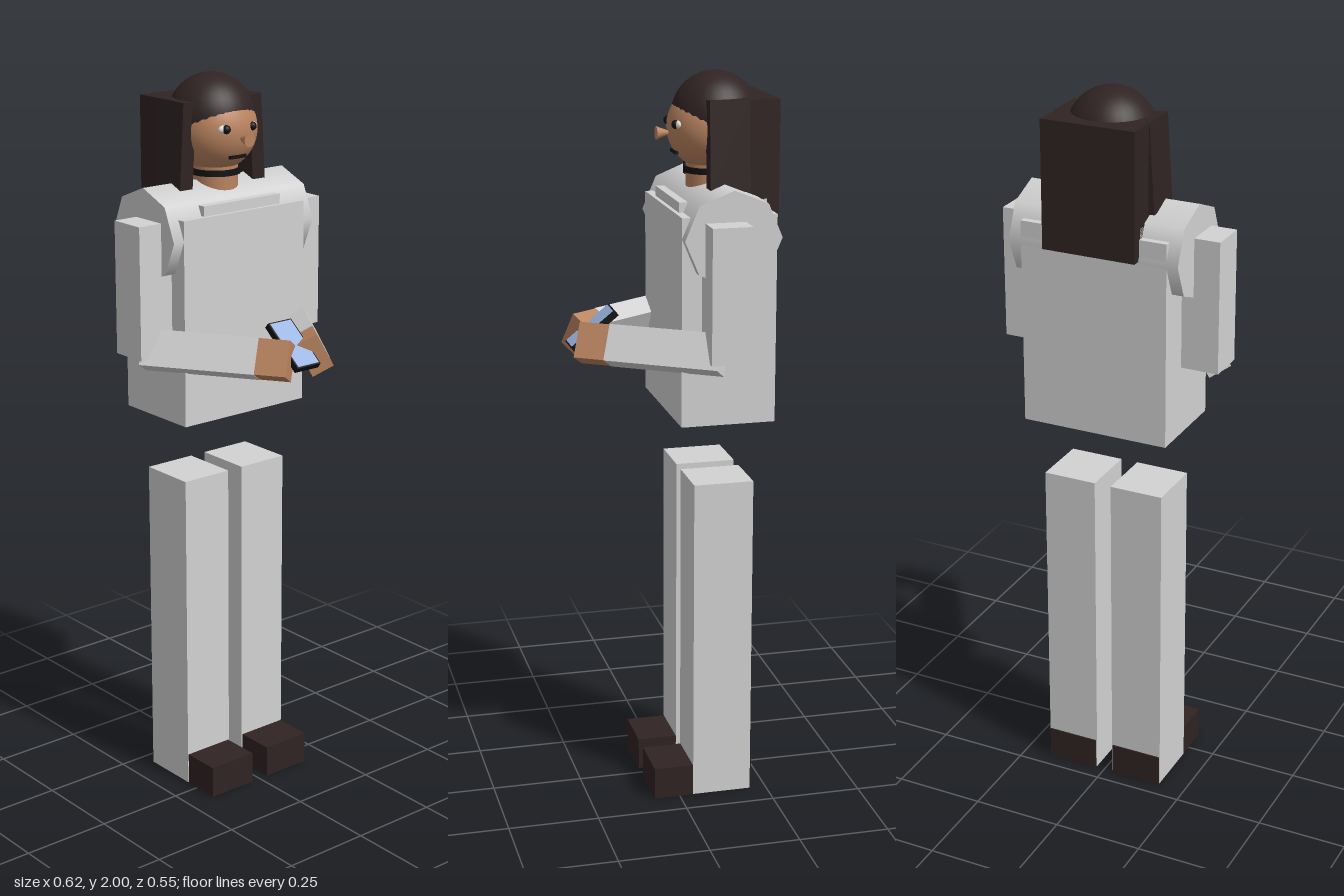
import * as THREE from 'three';

const mat = (name, color, side = THREE.FrontSide) => {
  const m = new THREE.MeshStandardMaterial({ color, side });
  m.name = name;
  return m;
};

export function createModel() {
  const model = new THREE.Group();
  model.name = 'standingFigure';

  const cloth = mat('paleGreyCloth', 0xd2d2d2);
  const skin = mat('skin', 0xba8460);
  const hair = mat('darkBrownHair', 0x302323);
  const black = mat('black', 0x141214);
  const white = mat('eyeWhite', 0xe8e4e0);
  const glass = mat('blueScreen', 0x9cb6e2);

  const add = (name, geometry, material, x, y, z, parent = model) => {
    const mesh = new THREE.Mesh(geometry, material);
    mesh.name = name;
    mesh.position.set(x, y, z);
    parent.add(mesh);
    return mesh;
  };
  // Box given by its minimum and maximum corners
  const span = (name, material, x0, x1, y0, y1, z0, z1) =>
    add(name, new THREE.BoxGeometry(x1 - x0, y1 - y0, z1 - z0), material,
      (x0 + x1) / 2, (y0 + y1) / 2, (z0 + z1) / 2);

  // Torso, collar and eight-sided shoulder roll
  span('torso', cloth, -0.206, 0.206, 1.09, 1.65, -0.25, 0.006);
  span('collar', cloth, -0.13, 0.13, 1.6, 1.677, -0.243, -0.005);
  const roll = new THREE.CylinderGeometry(0.127, 0.127, 0.478, 8);
  roll.rotateZ(Math.PI / 2);
  add('shoulders', roll, cloth, 0, 1.595, -0.124).scale.z = 1.025;

  // Neck and choker
  add('neck', new THREE.CylinderGeometry(0.062, 0.062, 0.16, 24), skin, 0, 1.7, -0.12);
  add('choker', new THREE.CylinderGeometry(0.069, 0.069, 0.016, 24), black, 0, 1.742, -0.12);

  // Head with a cap of hair set up and back from the face
  add('head', new THREE.SphereGeometry(0.114, 32, 24), skin, 0, 1.854, -0.12);
  add('hairCap', new THREE.SphereGeometry(0.117, 32, 24), hair, 0, 1.883, -0.135);
  span('backHair', hair, -0.13, 0.13, 1.593, 1.936, -0.276, -0.15);

  // Nose flaring outwards, and mouth
  const nose = new THREE.CylinderGeometry(0.018, 0.005, 0.034, 16);
  nose.rotateX(Math.PI / 2);
  add('nose', nose, skin, 0, 1.84, 0.008);
  add('mouth', new THREE.BoxGeometry(0.054, 0.009, 0.009), black, 0, 1.79, -0.025);

  for (const s of [1, -1]) {
    const side = s > 0 ? 'left' : 'right';
    const box = (name, material, x0, x1, y0, y1, z0, z1) =>
      span(side + name, material, s > 0 ? x0 : -x1, s > 0 ? x1 : -x0, y0, y1, z0, z1);

    // Eye
    const ball = new THREE.SphereGeometry(0.018, 16, 12);
    add(side + 'EyeWhite', ball, white, s * 0.046, 1.867, -0.026).scale.set(1, 0.7, 0.7);
    add(side + 'Pupil', new THREE.SphereGeometry(0.012, 16, 12), black, s * 0.044, 1.867, -0.018);

    // Lock of hair beside the face
    const lock = add(side + 'HairLock', new THREE.BoxGeometry(0.042, 0.238, 0.108), hair,
      s * 0.118, 1.817, -0.14);
    lock.rotation.z = s * 0.06;

    // Upper arm
    box('UpperArm', cloth, 0.205, 0.31, 1.28, 1.64, -0.155, -0.048);

    // Forearm and hand, turned inwards and rolled about their length
    const arm = new THREE.Group();
    arm.name = side + 'LowerArm';
    arm.rotation.order = 'YXZ';
    arm.rotation.set(0, s * -0.588, s * 0.49);
    arm.position.set(s * 0.264, 1.296, -0.091);
    model.add(arm);
    add(side + 'Forearm', new THREE.BoxGeometry(0.065, 0.1, 0.315), cloth, 0, 0, 0.1575, arm);
    add(side + 'Hand', new THREE.BoxGeometry(0.063, 0.098, 0.085), skin, 0, 0, 0.3575, arm);

    // Leg and shoe
    box('Leg', cloth, 0.024, 0.174, 0.002, 0.915, -0.203, -0.038);
    box('Shoe', hair, 0.027, 0.172, 0, 0.09, -0.207, 0.072);
  }

  // Phone leaning back between the hands
  const phone = new THREE.Group();
  phone.name = 'phone';
  phone.position.set(0, 1.323, 0.2025);
  phone.rotation.x = -0.895;
  model.add(phone);
  add('phoneBody', new THREE.BoxGeometry(0.08, 0.154, 0.018), black, 0, 0, 0, phone);
  add('phoneScreen', new THREE.BoxGeometry(0.071, 0.146, 0.003), glass, 0, 0, 0.009, phone);

  return model;
}
